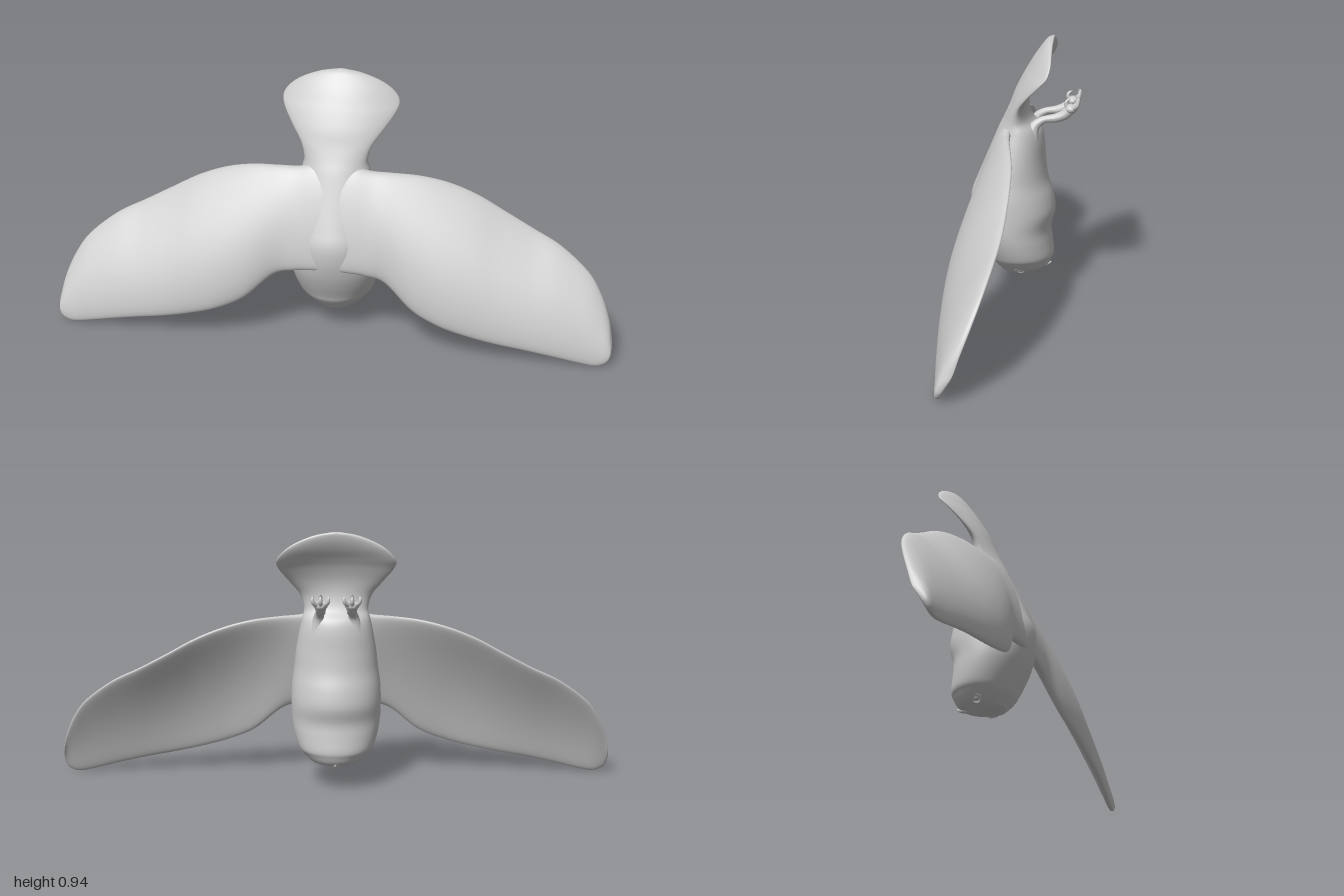
import * as THREE from 'three';

const material = new THREE.MeshStandardMaterial({ color: 0xcccccc, side: THREE.DoubleSide });

// Smoothly resample rows of numbers
function resample(rows, steps) {
  const spline = new THREE.CubicInterpolant(rows.map((_, i) => i), rows.flat(), rows[0].length);
  return Array.from({ length: steps + 1 }, (_, i) =>
    Array.from(spline.evaluate((i / steps) * (rows.length - 1))));
}

// Closed skin over a list of rings, with both ends capped
function loft(rings) {
  const n = rings[0].length, pos = [], index = [];
  rings.forEach(r => r.forEach(p => pos.push(...p)));
  for (let i = 0; i < rings.length - 1; i++) {
    for (let j = 0; j < n; j++) {
      const a = i * n + j, b = i * n + (j + 1) % n;
      index.push(a, a + n, b, b, a + n, b + n);
    }
  }
  [0, rings.length - 1].forEach((row, end) => {
    const c = pos.length / 3;
    pos.push(...[0, 1, 2].map(k => rings[row].reduce((sum, p) => sum + p[k], 0) / n));
    for (let j = 0; j < n; j++) {
      const a = row * n + j, b = row * n + (j + 1) % n;
      index.push(...(end ? [c, b, a] : [c, a, b]));
    }
  });
  const g = new THREE.BufferGeometry();
  g.setAttribute('position', new THREE.Float32BufferAttribute(pos, 3));
  g.setIndex(index);
  g.computeVertexNormals();
  return g;
}

const angles = n => Array.from({ length: n }, (_, j) => (j / n) * Math.PI * 2);

// Tube whose radius changes along the path; each point is [x, y, z, radius]
function taperedTube(points, steps = 20, sides = 12) {
  const curve = new THREE.CatmullRomCurve3(points.map(p => new THREE.Vector3(p[0], p[1], p[2])));
  const g = new THREE.TubeGeometry(curve, steps, 1, sides);
  const pos = g.attributes.position, v = new THREE.Vector3();
  const radii = resample(points.map(p => [p[3]]), steps);
  for (let i = 0; i < pos.count; i++) {
    const k = Math.floor(i / (sides + 1));
    const c = curve.getPointAt(k / steps);
    v.fromBufferAttribute(pos, i).sub(c).multiplyScalar(radii[k][0]).add(c);
    pos.setXYZ(i, v.x, v.y, v.z);
  }
  g.computeVertexNormals();
  return g;
}

function add(parent, name, geometry, position = [0, 0, 0]) {
  const m = new THREE.Mesh(geometry, material);
  m.name = name;
  m.position.set(...position);
  parent.add(m);
  return m;
}

// Head, body and fanned tail: [y, half width, front z, back z, backward bend of the sides]
function bodyGeometry() {
  const rows = [
    [0.077, 0.012, 0.045, 0.02, 0], [0.084, 0.056, 0.062, -0.04, 0], [0.093, 0.08, 0.07, -0.088, 0],
    [0.105, 0.097, 0.082, -0.108, 0], [0.128, 0.118, 0.1, -0.12, 0],
    [0.15, 0.134, 0.11, -0.126, 0], [0.2, 0.15, 0.135, -0.12, 0], [0.25, 0.158, 0.155, -0.116, 0],
    [0.31, 0.16, 0.169, -0.13, 0], [0.37, 0.158, 0.169, -0.122, 0], [0.43, 0.15, 0.147, -0.104, 0],
    [0.5, 0.142, 0.118, -0.095, 0], [0.57, 0.13, 0.089, -0.09, 0], [0.615, 0.12, 0.07, -0.078, 0],
    [0.65, 0.113, 0.053, -0.048, 0], [0.7, 0.127, 0.031, -0.034, -0.005], [0.75, 0.163, 0.012, -0.037, -0.025],
    [0.8, 0.198, -0.013, -0.055, -0.045], [0.835, 0.207, -0.033, -0.075, -0.055],
    [0.87, 0.182, -0.054, -0.099, -0.043], [0.9, 0.138, -0.075, -0.115, -0.024],
    [0.925, 0.075, -0.094, -0.123, -0.008], [0.936, 0.015, -0.109, -0.122, 0]];
  return loft(resample(rows, 110).map(([y, w, f, b, bend]) => angles(56).map(t => {
    const c = Math.cos(t);
    return [w * c, y, (f + b) / 2 + (f - b) / 2 * Math.sin(t) + bend * c * c];
  })));
}

// Both wings as one span through the back: [x, top y, bottom y, top z, bottom z, half thickness, camber]
function wingGeometry() {
  const half = [
    [0.07, 0.632, 0.275, 0.032, 0.148, 0.034, 0.008], [0.13, 0.619, 0.268, 0.03, 0.146, 0.034, 0.012],
    [0.2, 0.614, 0.246, 0.022, 0.146, 0.032, 0.024], [0.3, 0.604, 0.16, 0.006, 0.174, 0.031, 0.037],
    [0.4, 0.58, 0.115, -0.007, 0.192, 0.03, 0.043], [0.5, 0.54, 0.087, -0.011, 0.196, 0.029, 0.044],
    [0.6, 0.485, 0.066, -0.008, 0.195, 0.028, 0.04], [0.7, 0.431, 0.049, 0, 0.19, 0.027, 0.035],
    [0.8, 0.38, 0.029, 0.016, 0.183, 0.025, 0.029], [0.9, 0.302, 0.007, 0.044, 0.174, 0.022, 0.022],
    [0.95, 0.232, 0.001, 0.071, 0.17, 0.02, 0.016], [0.982, 0.158, 0.013, 0.1, 0.166, 0.017, 0.01],
    [0.996, 0.1, 0.033, 0.12, 0.16, 0.013, 0.005], [1, 0.075, 0.052, 0.135, 0.15, 0.005, 0]];
  const mirrored = half.map(([x, ...rest]) => [-x, ...rest]).reverse();
  const rows = [...mirrored, [0, 0.636, 0.277, 0.032, 0.148, 0.034, 0.006], ...half];
  return loft(resample(rows, 168).map(([x, top, low, zt, zl, h, camber]) => angles(48).map(t => {
    const u = (1 - Math.cos(t)) / 2, s = Math.sin(t);
    const blunt = Math.sign(s) * Math.abs(s) ** 0.75;
    return [x, top + (low - top) * u, zt + (zl - zt) * u + camber * 4 * u * (1 - u) - h * blunt];
  })));
}

function foot(side) {
  const g = new THREE.Group();
  const X = x => side * x;
  // Thigh flowing out of the belly, then the thin shank
  add(g, 'leg', taperedTube([
    [X(0.066), 0.42, -0.02, 0.03], [X(0.066), 0.52, -0.036, 0.038], [X(0.064), 0.59, -0.046, 0.04],
    [X(0.06), 0.632, -0.062, 0.033], [X(0.056), 0.652, -0.09, 0.02], [X(0.054), 0.66, -0.135, 0.013],
    [X(0.054), 0.673, -0.165, 0.017], [X(0.054), 0.694, -0.186, 0.019]], 40, 18));
  add(g, 'footPad', new THREE.SphereGeometry(0.021, 20, 14), [X(0.054), 0.694, -0.186]).scale.set(1.2, 0.8, 1);
  // Three long toes and one opposing toe, curled inwards
  [-0.025, 0, 0.025].forEach(dx => add(g, 'toe', taperedTube([
    [X(0.054 + dx * 0.4), 0.696, -0.194, 0.01], [X(0.054 + dx), 0.709, -0.208, 0.008],
    [X(0.054 + dx * 1.1), 0.724, -0.21, 0.006], [X(0.054 + dx), 0.73, -0.203, 0.001]])));
  add(g, 'hindToe', taperedTube([
    [X(0.054), 0.695, -0.178, 0.01], [X(0.054), 0.711, -0.169, 0.008],
    [X(0.054), 0.723, -0.173, 0.006], [X(0.054), 0.729, -0.184, 0.001]]));
  return g;
}

export function createModel() {
  const model = new THREE.Group();
  model.name = 'flyingBird';
  add(model, 'body', bodyGeometry());
  add(model, 'wings', wingGeometry());
  for (const side of [1, -1]) {
    const label = side > 0 ? 'left' : 'right';
    const leg = foot(side);
    leg.name = label + 'Foot';
    model.add(leg);
    // Eye with a raised lid ring, on the downward-facing face
    const eye = new THREE.Group();
    eye.name = label + 'Eye';
    eye.position.set(side * 0.085, 0.101, -0.012);
    eye.lookAt(side * 0.14, 0.04, -0.016);
    add(eye, 'eyeball', new THREE.SphereGeometry(0.012, 18, 12)).scale.z = 0.6;
    add(eye, 'eyelid', new THREE.TorusGeometry(0.017, 0.005, 10, 24));
    model.add(eye);
  }
  // Short hooked beak
  add(model, 'beak', taperedTube([
    [0, 0.105, -0.06, 0.02], [0, 0.098, -0.085, 0.015], [0, 0.098, -0.103, 0.008], [0, 0.106, -0.117, 0.001]]));
  return model;
}
